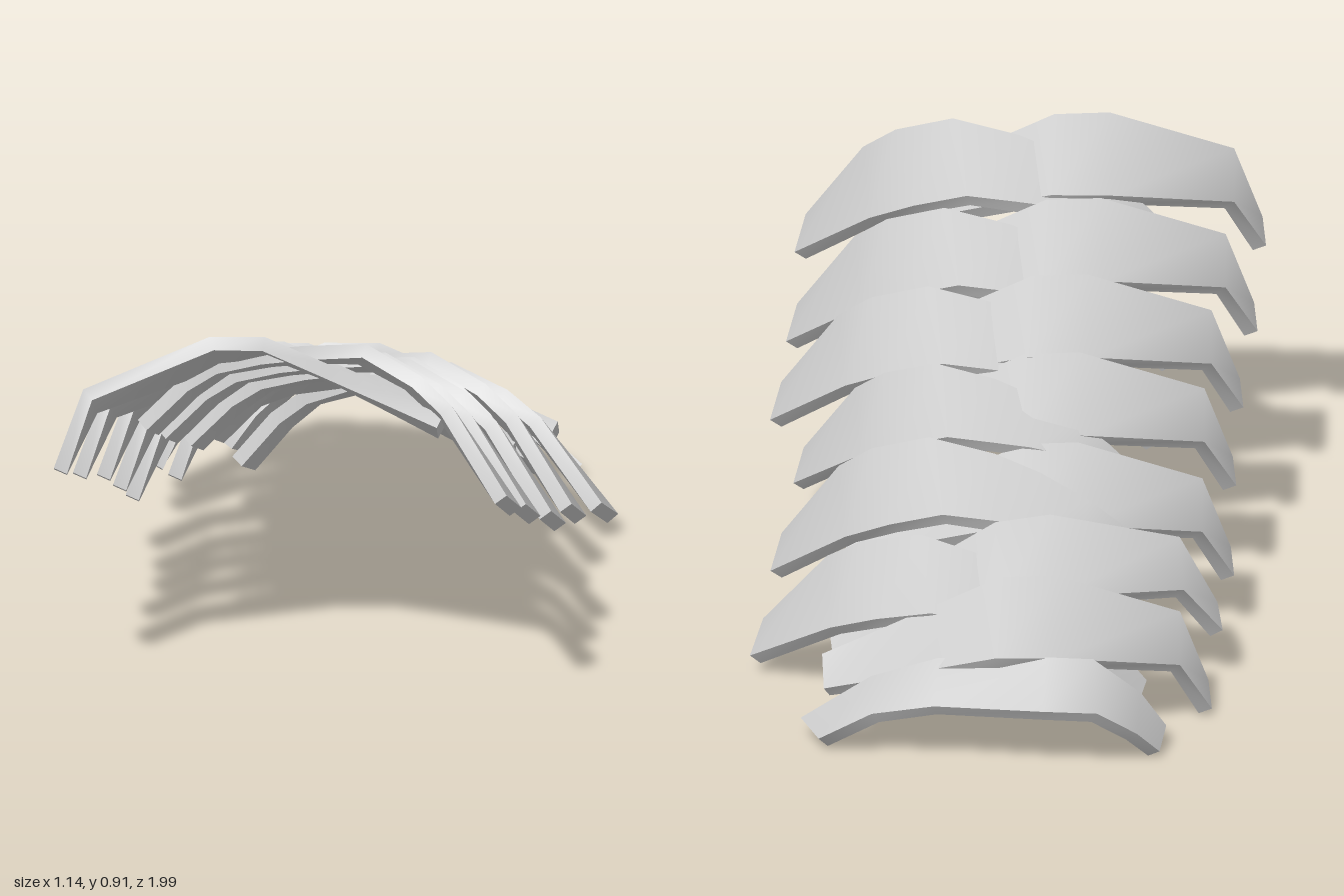
import * as THREE from 'three';
import { toCreasedNormals } from 'three/addons/utils/BufferGeometryUtils.js';

const THICKNESS = 0.034;
const PIVOT = new THREE.Vector3(0, 0.9, 0.75);
const material = new THREE.MeshStandardMaterial({ color: 0xcccccc, side: THREE.DoubleSide });

// Each station: front top corner x, y, z then back top corner x, y, z
const rightSlat = [
  [-0.555, 0.615, 0.99, -0.57, 0.58, 0.9],
  [-0.49, 0.805, 0.955, -0.5, 0.725, 0.82],
  [-0.2, 0.925, 0.87, -0.22, 0.803, 0.655],
  [-0.07, 0.925, 0.85, -0.08, 0.817, 0.615],
  [0.08, 0.858, 0.83, 0.06, 0.778, 0.635],
  [0.24, 0.785, 0.81, 0.22, 0.722, 0.68],
  [0.35, 0.735, 0.8, 0.34, 0.68, 0.72],
];
const leftSlat = [
  [-0.4, 0.65, 0.715, -0.385, 0.61, 0.63],
  [-0.3, 0.755, 0.71, -0.29, 0.71, 0.61],
  [-0.22, 0.812, 0.72, -0.21, 0.77, 0.6],
  [-0.1, 0.86, 0.765, -0.1, 0.795, 0.595],
  [0.01, 0.89, 0.8, 0, 0.808, 0.59],
  [0.17, 0.915, 0.83, 0.12, 0.815, 0.6],
  [0.31, 0.86, 0.88, 0.25, 0.768, 0.64],
  [0.39, 0.8, 0.91, 0.36, 0.703, 0.71],
  [0.53, 0.6, 0.96, 0.55, 0.54, 0.87],
];
const endSlat = [
  [-0.46, 0.068, -0.8, -0.45, 0.035, -0.88],
  [-0.4, 0.155, -0.81, -0.4, 0.1, -0.93],
  [-0.29, 0.255, -0.85, -0.31, 0.175, -0.99],
  [-0.18, 0.265, -0.87, -0.18, 0.18, -1.0],
  [0.08, 0.25, -0.86, 0.08, 0.175, -0.975],
  [0.24, 0.19, -0.84, 0.23, 0.14, -0.95],
  [0.41, 0.06, -0.8, 0.36, 0.05, -0.9],
];

// Sweeps a four-cornered section through the stations, with closed ends
function slatGeometry(stations) {
  const front = stations.map((s) => new THREE.Vector3(s[0], s[1], s[2]));
  const back = stations.map((s) => new THREE.Vector3(s[3], s[4], s[5]));
  const last = stations.length - 1;
  const positions = [];
  const index = [];
  for (let i = 0; i <= last; i++) {
    const a = Math.max(i - 1, 0);
    const b = Math.min(i + 1, last);
    const along = front[b].clone().sub(front[a]).add(back[b]).sub(back[a]);
    const down = along.cross(back[i].clone().sub(front[i])).normalize().multiplyScalar(-THICKNESS);
    const ring = [front[i], back[i], back[i].clone().add(down), front[i].clone().add(down)];
    for (const p of ring) positions.push(p.x, p.y, p.z);
  }
  for (let i = 0; i < last; i++) {
    for (let k = 0; k < 4; k++) {
      const n = (k + 1) % 4;
      const [a, b, c, d] = [i * 4 + k, i * 4 + 4 + k, i * 4 + 4 + n, i * 4 + n];
      index.push(a, b, c, a, c, d);
    }
  }
  const e = last * 4;
  index.push(0, 1, 2, 0, 2, 3, e, e + 2, e + 1, e, e + 3, e + 2);
  const geometry = new THREE.BufferGeometry();
  geometry.setAttribute('position', new THREE.Float32BufferAttribute(positions, 3));
  geometry.setIndex(index);
  return toCreasedNormals(geometry, 1.0);
}

export function createModel() {
  const group = new THREE.Group();
  group.name = 'slattedCover';

  // Rows step down towards the back: sideways shift, drop, setback, roll, scale
  const addRow = (name, stations, placements) => {
    const geometry = slatGeometry(stations).translate(-PIVOT.x, -PIVOT.y, -PIVOT.z);
    placements.forEach(([shift, drop, setback, roll = 0, scale = 1], i) => {
      const mesh = new THREE.Mesh(geometry, material);
      mesh.name = name + (i + 1);
      mesh.position.set(PIVOT.x + shift, PIVOT.y - drop, PIVOT.z - setback);
      mesh.rotation.z = roll;
      mesh.scale.set(scale, scale, 1);
      group.add(mesh);
    });
  };

  // Slats hanging over the right side
  addRow('rightSlat', rightSlat, [
    [0, 0, 0], [0, 0.105, 0.27], [0.015, 0.195, 0.52], [0.015, 0.3, 0.745],
    [0, 0.418, 1.01], [0.04, 0.505, 1.3, -0.12], [0.015, 0.543, 1.52],
  ]);

  // Slats hanging over the left side, crossing the others at the ridge
  addRow('leftSlat', leftSlat, [
    [0, 0, 0], [0, 0.115, 0.27], [0.02, 0.215, 0.51], [0, 0.3, 0.77, 0, 0.9],
    [-0.02, 0.38, 1.03], [-0.02, 0.52, 1.32, 0.08],
  ]);

  // Single slat closing the low back end
  const end = new THREE.Mesh(slatGeometry(endSlat), material);
  end.name = 'endSlat';
  group.add(end);

  return group;
}
